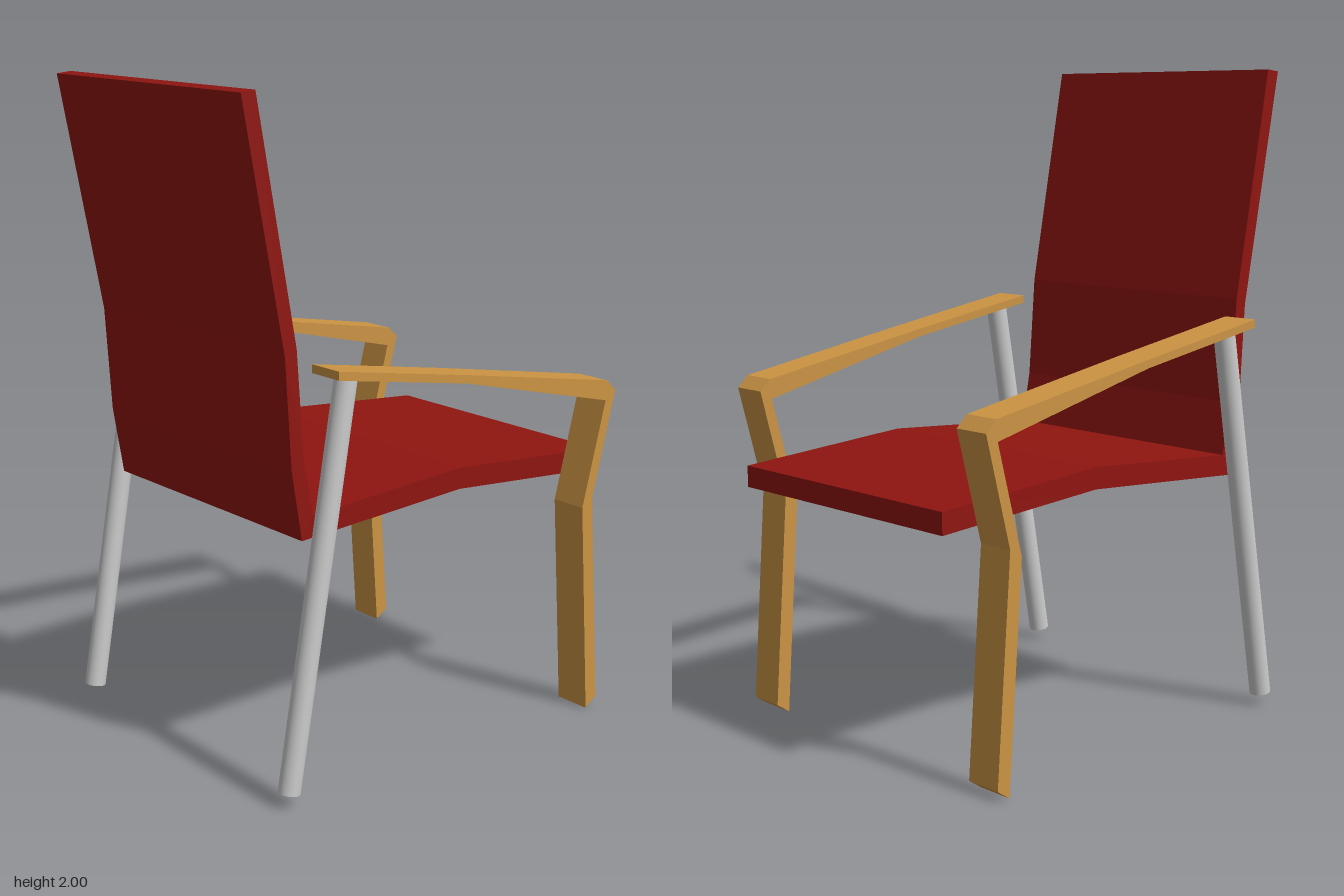
import * as THREE from 'three';

const red = new THREE.MeshStandardMaterial({ color: 0x8f1510 });
const wood = new THREE.MeshStandardMaterial({ color: 0xcc9444 });
const metal = new THREE.MeshStandardMaterial({ color: 0xcccccc });

// Side profile (x, y) extruded across z from z0 to z1
function slab(name, profile, z0, z1, material) {
  const shape = new THREE.Shape(profile.map(([x, y]) => new THREE.Vector2(x, y)));
  const geometry = new THREE.ExtrudeGeometry(shape, { depth: z1 - z0, bevelEnabled: false });
  geometry.translate(0, 0, z0);
  const mesh = new THREE.Mesh(geometry, material);
  mesh.name = name;
  return mesh;
}

// Round rod between two points
function rod(name, a, b, radius, material) {
  const axis = b.clone().sub(a);
  const mesh = new THREE.Mesh(new THREE.CylinderGeometry(radius, radius, axis.length(), 32), material);
  mesh.position.copy(a).add(b).multiplyScalar(0.5);
  mesh.quaternion.setFromUnitVectors(new THREE.Vector3(0, 1, 0), axis.normalize());
  mesh.name = name;
  return mesh;
}

export function createModel() {
  const chair = new THREE.Group();
  chair.name = 'armchair';

  // Seat and backrest: one bent, constant-thickness shell
  const shell = [
    [-0.50, 0.75], [0.10, 0.787], [0.69, 0.742], [0.69, 0.808], [0.10, 0.853], [-0.461, 0.817],
    [-0.492, 0.98], [-0.515, 1.30], [-0.645, 2.0], [-0.692, 1.995], [-0.555, 1.28], [-0.535, 0.96],
  ];
  chair.add(slab('seatAndBackrest', shell, -0.452, 0.452, red));

  // Armrest that folds down into the bent front leg
  const arm = [
    [-0.463, 1.225], [0.01, 1.145], [0.595, 1.003], [0.507, 0.675], [0.553, 0.0], [0.597, 0.03],
    [0.55, 0.70], [0.637, 1.03], [0.60, 1.065], [0.01, 1.17], [-0.463, 1.25],
  ];
  for (const [side, s] of [['left', 1], ['right', -1]]) {
    const frame = new THREE.Group();
    frame.name = side + 'Frame';
    const [z0, z1] = s > 0 ? [0.452, 0.57] : [-0.57, -0.452];
    frame.add(slab('armrestAndFrontLeg', arm, z0, z1, wood));
    // Sloping rear leg
    frame.add(rod('rearLeg', new THREE.Vector3(-0.596, 0.04, s * 0.51),
      new THREE.Vector3(-0.39, 1.213, s * 0.51), 0.033, metal));
    chair.add(frame);
  }
  return chair;
}
